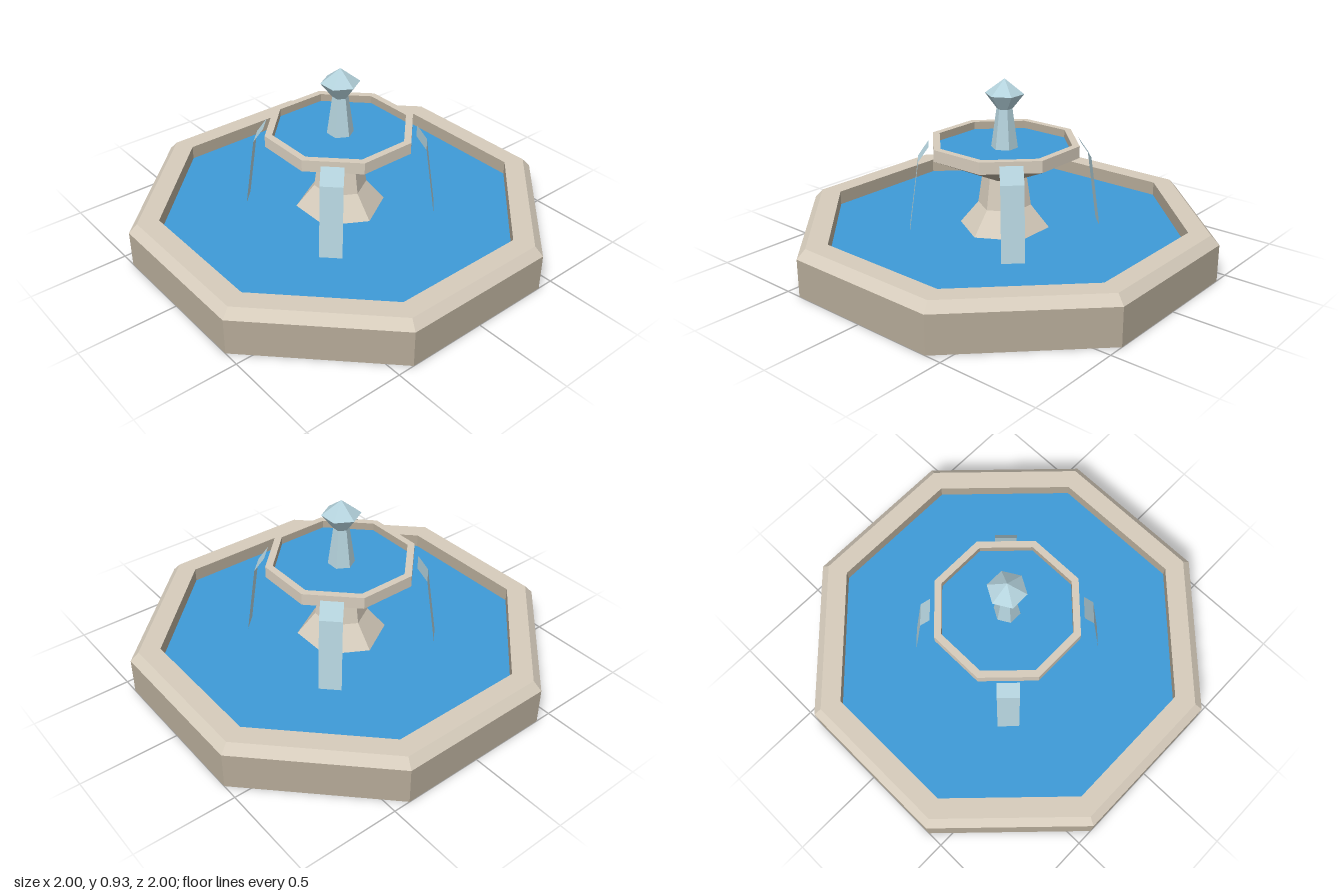
import * as THREE from 'three';

const flat = (name, color) => {
  const m = new THREE.MeshStandardMaterial({ color, flatShading: true, side: THREE.DoubleSide });
  m.name = name;
  return m;
};

export function createModel() {
  const lightStone = flat('light stone', 0xd6ccbc);
  const darkStone = flat('dark stone', 0xb5aa98);
  const water = flat('water blue', 0x3e9ad7);
  const ice = flat('pale spray blue', 0xb4d2dc);
  const model = new THREE.Group();

  const add = (name, geometry, material) => {
    const mesh = new THREE.Mesh(geometry, material);
    mesh.name = name;
    model.add(mesh);
    return mesh;
  };

  // Faceted ring from a [radius, y] profile, listed upward on the outside
  const turned = (name, profile, sides, material, scale = 1) => {
    const points = profile.map(([r, y]) => new THREE.Vector2(r * scale, y));
    const g = new THREE.LatheGeometry(points, sides, Math.PI / sides).toNonIndexed();
    g.computeVertexNormals();
    return add(name, g, material);
  };

  // Octagon radii are given to the middle of each side
  const OCT = 1 / Math.cos(Math.PI / 8);
  const octagon = (name, profile, material) => turned(name, profile, 8, material, OCT);
  const pool = (name, apothem, y) => {
    const g = new THREE.CircleGeometry(apothem * OCT, 8, Math.PI / 8);
    g.rotateX(-Math.PI / 2).translate(0, y, 0);
    add(name, g, water);
  };

  // Lower basin, open underneath
  octagon('basinOuterWall', [[1, 0], [1, 0.19]], darkStone);
  octagon('basinRim', [[1, 0.19], [0.96, 0.235], [0.86, 0.235]], lightStone);
  octagon('basinInnerWall', [[0.86, 0.235], [0.86, 0.163]], darkStone);
  pool('basinWater', 0.86, 0.163);

  // Pedestal with flared foot
  turned('pedestal', [[0.23, 0.163], [0.136, 0.28], [0.113, 0.44]], 6, lightStone);

  // Upper bowl
  octagon('bowlUnderside', [[0, 0.435], [0.1, 0.435], [0.355, 0.56]], darkStone);
  octagon('bowlRim', [[0.355, 0.56], [0.355, 0.62], [0.32, 0.62]], lightStone);
  octagon('bowlInnerWall', [[0.32, 0.62], [0.32, 0.58]], darkStone);
  pool('bowlWater', 0.32, 0.58);

  // Central jet with a faceted tip
  turned('jet', [[0.068, 0.58], [0.04, 0.78]], 6, ice);
  turned('jetTip', [[0.04, 0.78], [0.098, 0.855], [0, 0.93]], 6, ice);

  // Four bent ribbons of falling water on the diagonals
  const fall = [[0.378, 0.607], [0.431, 0.53], [0.483, 0.163]];
  for (let k = 0; k < 4; k++) {
    const g = new THREE.PlaneGeometry(0.112, 1, 1, 2);
    const p = g.attributes.position;
    for (let i = 0; i < p.count; i++) {
      const [r, y] = fall[Math.floor(i / 2)];
      p.setXYZ(i, p.getX(i), y, r);
    }
    const ribbon = g.toNonIndexed();
    ribbon.computeVertexNormals();
    add('fallingWater', ribbon, ice).rotation.y = Math.PI / 4 + (k * Math.PI) / 2;
  }

  return model;
}
